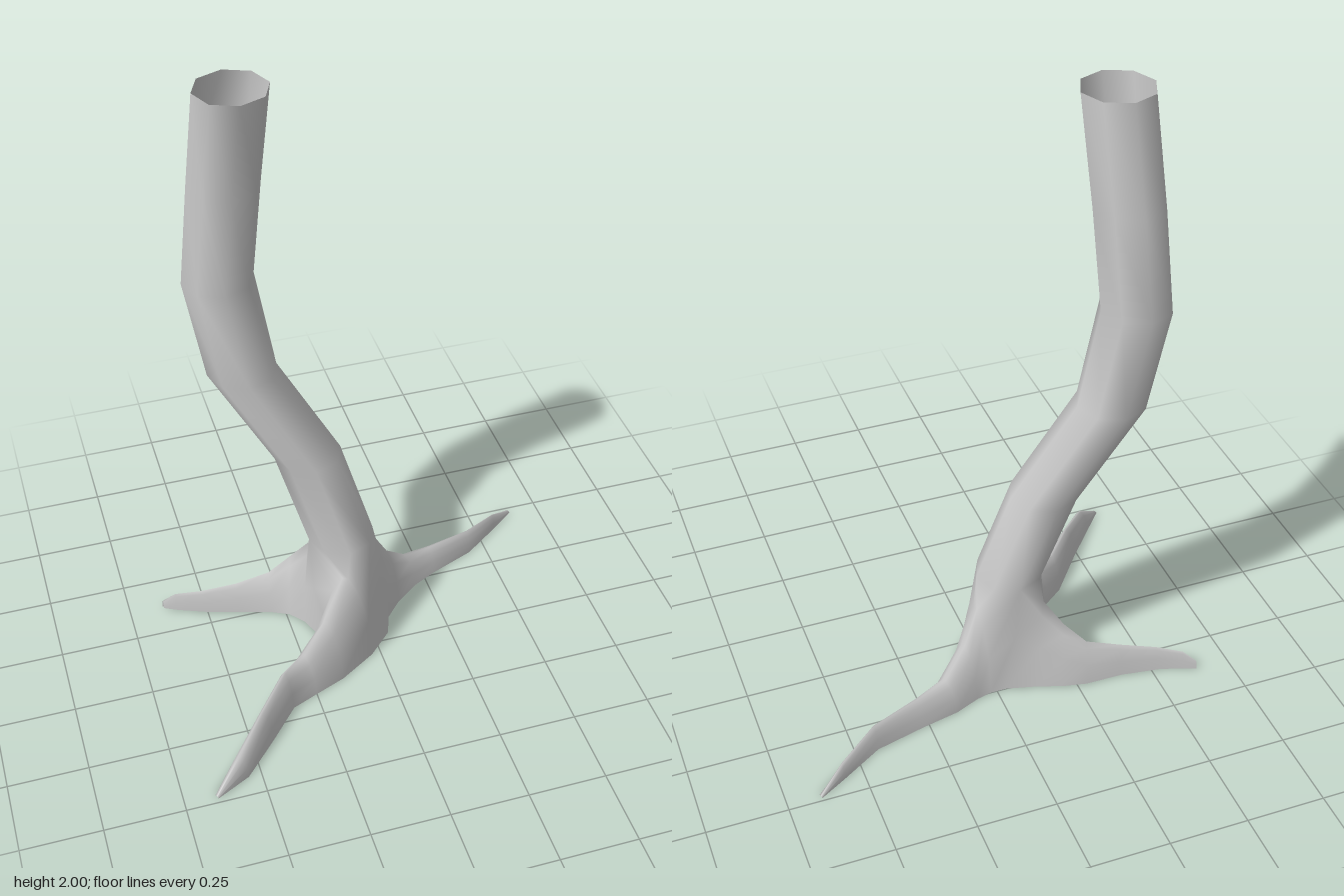
import * as THREE from 'three';
import { mergeGeometries, mergeVertices } from 'three/addons/utils/BufferGeometryUtils.js';

const SIDES = 8;

// Trunk rings, top to bottom: x, y, z, radius
const trunkRings = [
  [-0.348, 2.0, -0.18, 0.108],
  [-0.372, 1.68, -0.235, 0.108],
  [-0.402, 1.36, -0.255, 0.108],
  [-0.35, 1.035, -0.235, 0.107],
  [-0.168, 0.71, -0.182, 0.106],
  [-0.078, 0.39, -0.133, 0.106],
];

// Valleys between neighbouring roots: middle point, then ground point
const valleys = {
  frontLeft: [[0.02, 0.2, -0.045], [0.05, 0, -0.03]],
  right: [[-0.18, 0.2, -0.105], [-0.17, 0, -0.08]],
  back: [[-0.06, 0.2, -0.245], [-0.03, 0, -0.25]],
};

// Each root spans trunk sides from..to between two valleys.
// Sections: ground edge x, z; opposite ground edge x, z; ridge height
const roots = [
  {
    from: 1, to: 4, start: 'frontLeft', end: 'right', // front root
    sections: [
      [-0.03, 0.05, -0.18, -0.04, 0.33],
      [-0.15, 0.125, -0.24, 0.035, 0.225],
      [-0.25, 0.165, -0.31, 0.085, 0.15],
      [-0.335, 0.2, -0.37, 0.13, 0.132],
      [-0.43, 0.31, -0.49, 0.28, 0.117],
      [-0.54, 0.43, -0.585, 0.39, 0.08],
      [-0.648, 0.485, -0.655, 0.47, 0.004],
    ],
  },
  {
    from: 4, to: 6, start: 'right', end: 'back', // back right root
    sections: [
      [-0.2, -0.16, -0.13, -0.275, 0.3],
      [-0.24, -0.21, -0.2, -0.3, 0.22],
      [-0.3, -0.24, -0.28, -0.317, 0.145],
      [-0.4, -0.27, -0.4, -0.318, 0.11],
      [-0.5, -0.302, -0.53, -0.337, 0.085],
      [-0.595, -0.342, -0.6, -0.36, 0.066],
      [-0.637, -0.364, -0.64, -0.374, 0.03],
    ],
  },
  {
    from: 6, to: 9, start: 'back', end: 'frontLeft', // back left root
    sections: [
      [0.02, -0.25, 0.075, -0.1, 0.31],
      [0.07, -0.262, 0.13, -0.16, 0.2],
      [0.15, -0.295, 0.21, -0.22, 0.118],
      [0.27, -0.32, 0.29, -0.26, 0.1],
      [0.43, -0.36, 0.44, -0.32, 0.085],
      [0.56, -0.44, 0.565, -0.41, 0.055],
      [0.645, -0.49, 0.65, -0.475, 0.003],
    ],
  },
];

function ringPoint([x, y, z, r], k) {
  const a = ((k % SIDES) / SIDES) * Math.PI * 2;
  return [x + r * Math.cos(a), y, z + r * Math.sin(a)];
}

// Arch over the ground, narrowing towards its ridge
function arch([x0, z0, x1, z1, h], count) {
  return Array.from({ length: count }, (_, j) => {
    const t = (j / (count - 1)) * Math.PI;
    const c = Math.cos(t);
    const s = 0.5 - 0.5 * Math.sign(c) * Math.abs(c) ** 1.5;
    return [x0 + (x1 - x0) * s, h * Math.sin(t), z0 + (z1 - z0) * s];
  });
}

// Skin rows of equally many points
function loft(rows) {
  const cols = rows[0].length;
  const index = [];
  for (let i = 0; i < rows.length - 1; i++) {
    for (let j = 0; j < cols - 1; j++) {
      const a = i * cols + j, b = a + 1, c = a + cols, d = c + 1;
      index.push(a, b, c, b, d, c);
    }
  }
  const geometry = new THREE.BufferGeometry();
  geometry.setAttribute('position', new THREE.Float32BufferAttribute(rows.flat(2), 3));
  geometry.setIndex(index);
  return geometry;
}

function trunkGeometry() {
  return loft(trunkRings.map((ring) =>
    Array.from({ length: SIDES + 1 }, (_, k) => ringPoint(ring, k))));
}

// A root grows from the arch made by two valleys and part of the lowest trunk ring
function rootGeometry({ from, to, start, end, sections }) {
  const lowest = trunkRings[trunkRings.length - 1];
  const first = [...valleys[start]].reverse();
  for (let k = from; k <= to; k++) first.push(ringPoint(lowest, k));
  first.push(...valleys[end]);
  return loft([first, ...sections.map((s) => arch(s, first.length))]);
}

export function createModel() {
  const group = new THREE.Group();
  group.name = 'treeStem';

  // One continuous skin, so the bark shades smoothly from trunk into roots
  const geometry = mergeVertices(
    mergeGeometries([trunkGeometry(), ...roots.map(rootGeometry)]), 1e-4);
  geometry.computeVertexNormals();

  const bark = new THREE.MeshStandardMaterial({ color: 0xcccccc, side: THREE.DoubleSide });
  const mesh = new THREE.Mesh(geometry, bark);
  mesh.name = 'trunkAndRoots';
  group.add(mesh);
  return group;
}
